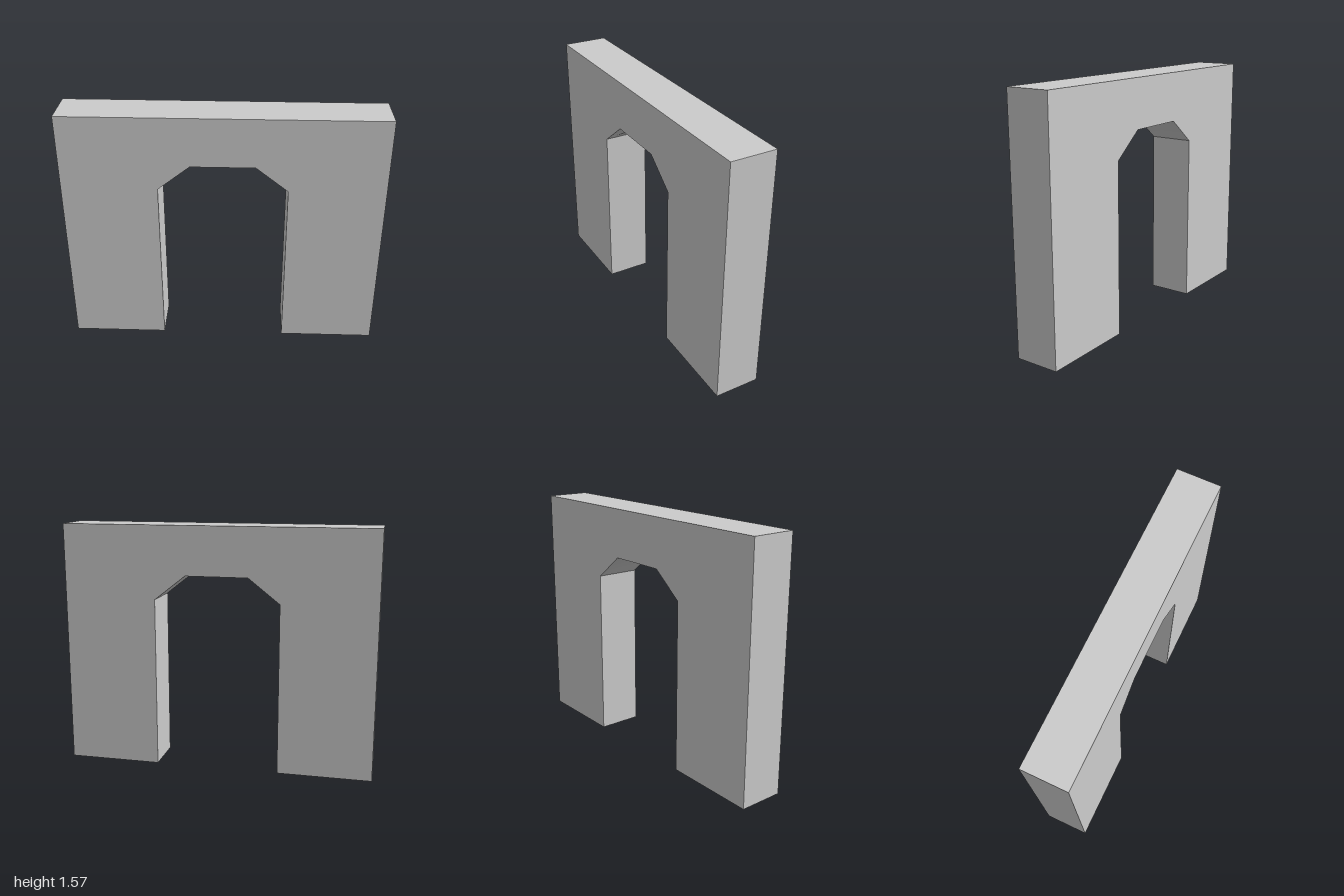
import * as THREE from 'three';
import { toCreasedNormals } from 'three/addons/utils/BufferGeometryUtils.js';

export function createModel() {
  const height = 1.57, depth = 0.286;

  // right half of the outline, from the opening's crown round to the top corner
  const half = [[0.2, 1.257], [0.4, 1.1], [0.4, 0], [1, 0], [1, height]];
  const mirrored = half.map(([x, y]) => [-x, y]).reverse();
  const outline = [...half, ...mirrored].map(([x, y]) => new THREE.Vector2(x, y));

  // wall with a chamfered doorway, extruded and centred on z
  const extruded = new THREE.ExtrudeGeometry(new THREE.Shape(outline), { depth, bevelEnabled: false });
  extruded.translate(0, 0, -depth / 2);

  // soft shading across the arch chamfers, all other edges sharp
  const geometry = toCreasedNormals(extruded, THREE.MathUtils.degToRad(45));
  const wall = new THREE.Mesh(geometry, new THREE.MeshStandardMaterial({ color: 0xcccccc }));
  wall.name = 'archwayWall';

  const group = new THREE.Group();
  group.name = 'archway';
  group.add(wall);
  return group;
}
